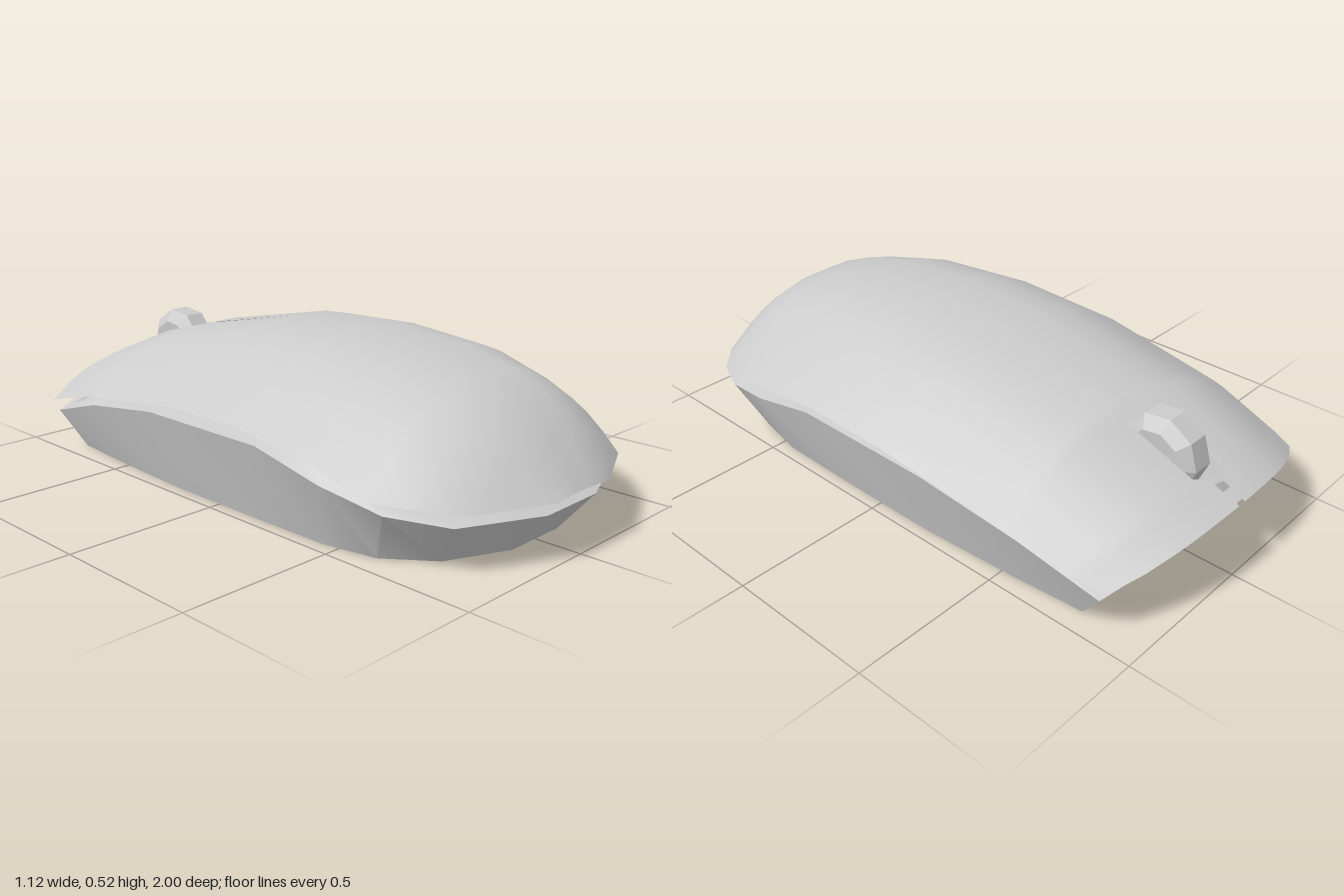
import * as THREE from 'three';
import { mergeVertices, toCreasedNormals } from 'three/addons/utils/BufferGeometryUtils.js';

const grey = (opts = {}) => new THREE.MeshStandardMaterial({ color: 0xcccccc, ...opts });

// Collects quads and triangles of [x, y, z] points
function faceBuilder() {
  const pos = [];
  const tri = (a, b, c) => pos.push(...a, ...b, ...c);
  const quad = (a, b, c, d) => { tri(a, b, c); tri(a, c, d); };
  const geometry = () => new THREE.BufferGeometry()
    .setAttribute('position', new THREE.Float32BufferAttribute(pos, 3));
  return { tri, quad, geometry };
}
const mirror = ([x, y, z]) => [-x, y, z];

// Domed top shell: cross-sections from front to rear, opened along the middle by a slot
function createShell() {
  // [z at middle, z at rim, slot half width, half width, rim height, crown height]
  const sections = [
    [-1.0, -0.89, 0.014, 0.48, 0.16, 0.255],
    [-0.9, -0.82, 0.02, 0.495, 0.182, 0.297],
    [-0.87, -0.79, 0.062, 0.5, 0.19, 0.308],
    [-0.61, -0.6, 0.068, 0.53, 0.24, 0.41],
    [-0.57, -0.56, 0.008, 0.535, 0.247, 0.42],
    [-0.12, -0.12, 0, 0.557, 0.31, 0.51],
    [0.18, 0.18, 0, 0.56, 0.317, 0.52],
    [0.47, 0.47, 0, 0.553, 0.28, 0.497],
    [0.66, 0.66, 0, 0.523, 0.205, 0.455],
    [0.77, 0.77, 0, 0.47, 0.198, 0.412],
    [0.89, 0.89, 0, 0.36, 0.182, 0.325],
    [1.0, 1.0, 0, 0.13, 0.185, 0.19],
  ];
  // [fraction of half width, fraction of crown height]
  const arch = [[0, 1], [0.23, 0.99], [0.42, 0.87], [0.58, 0.71], [0.77, 0.42], [1, 0]];
  const rows = sections.map(([zc, zr, x0, w, rim, crown]) => arch.map(([t, f]) => [
    x0 + (w - x0) * t,
    rim + (crown - rim) * f,
    zc + (zr - zc) * t ** 2.5,
  ]));
  const { quad, geometry } = faceBuilder();
  for (let i = 0; i < rows.length - 1; i++) {
    for (let j = 0; j < arch.length - 1; j++) {
      const [a, b, c, d] = [rows[i][j], rows[i][j + 1], rows[i + 1][j + 1], rows[i + 1][j]];
      quad(a, d, c, b);
      quad(...[a, b, c, d].map(mirror));
    }
  }
  const geo = mergeVertices(geometry());
  geo.computeVertexNormals();
  return new THREE.Mesh(geo, grey({ side: THREE.DoubleSide }));
}

// Tapered base with a sloping ledge and an inner deck below the shell
function createBase() {
  // Half outline, front to rear: [bottom x, bottom z, top x, top y, top z, ledge rise]
  const outline = [
    [0, -0.8, 0, 0.21, -0.96, 0.015],
    [0.23, -0.795, 0.25, 0.185, -0.94, 0.015],
    [0.42, -0.78, 0.47, 0.125, -0.87, 0.025],
    [0.44, -0.55, 0.505, 0.205, -0.6, 0.035],
    [0.46, -0.2, 0.53, 0.26, -0.25, 0.045],
    [0.46, 0.15, 0.535, 0.265, 0.25, 0.045],
    [0.455, 0.45, 0.53, 0.21, 0.5, 0.045],
    [0.42, 0.62, 0.49, 0.165, 0.7, 0.03],
    [0.31, 0.76, 0.39, 0.147, 0.86, 0.025],
    [0.11, 0.85, 0.12, 0.137, 0.965, 0.022],
  ];
  const bottom = outline.map(([x, z]) => [x, 0, z]);
  const top = outline.map(([, , x, y, z]) => [x, y, z]);
  const ledge = outline.map(([, , x, y, z, up]) => [x * 0.95, y + up, z * 0.95]);
  const last = outline.length - 1;
  const spine = ledge.map(([, y, z], i) => [0, y + (i === 0 || i === last ? 0 : 0.06), z]);
  const close = (half) => [...half, ...half.slice(1).reverse().map(mirror)];
  const loops = [bottom, top, ledge].map(close);
  const { tri, quad, geometry } = faceBuilder();
  const n = loops[0].length;
  for (let i = 0; i < n; i++) {
    const k = (i + 1) % n;
    for (let l = 0; l < 2; l++) {
      quad(loops[l][i], loops[l + 1][i], loops[l + 1][k], loops[l][k]);
    }
    tri([0, 0, 0], loops[0][i], loops[0][k]);
  }
  for (let i = 0; i < last; i++) {
    quad(ledge[i], spine[i], spine[i + 1], ledge[i + 1]);
    quad(spine[i], mirror(ledge[i]), mirror(ledge[i + 1]), spine[i + 1]);
  }
  return new THREE.Mesh(toCreasedNormals(geometry(), 0.5), grey());
}

// Low-poly scroll wheel standing in the slot
function createWheel() {
  const profile = [[0, -0.06], [0.09, -0.065], [0.13, -0.035], [0.13, 0.035], [0.09, 0.065], [0, 0.06]];
  const geo = new THREE.LatheGeometry(profile.map(([r, h]) => new THREE.Vector2(r, h)), 9);
  geo.rotateZ(Math.PI / 2);
  geo.rotateX(0.3);
  const wheel = new THREE.Mesh(geo, grey({ flatShading: true }));
  wheel.position.set(0, 0.318, -0.735);
  return wheel;
}

export function createModel() {
  const model = new THREE.Group();
  model.name = 'computerMouse';
  const parts = { topShell: createShell(), base: createBase(), scrollWheel: createWheel() };
  for (const [name, mesh] of Object.entries(parts)) {
    mesh.name = name;
    model.add(mesh);
  }
  return model;
}
